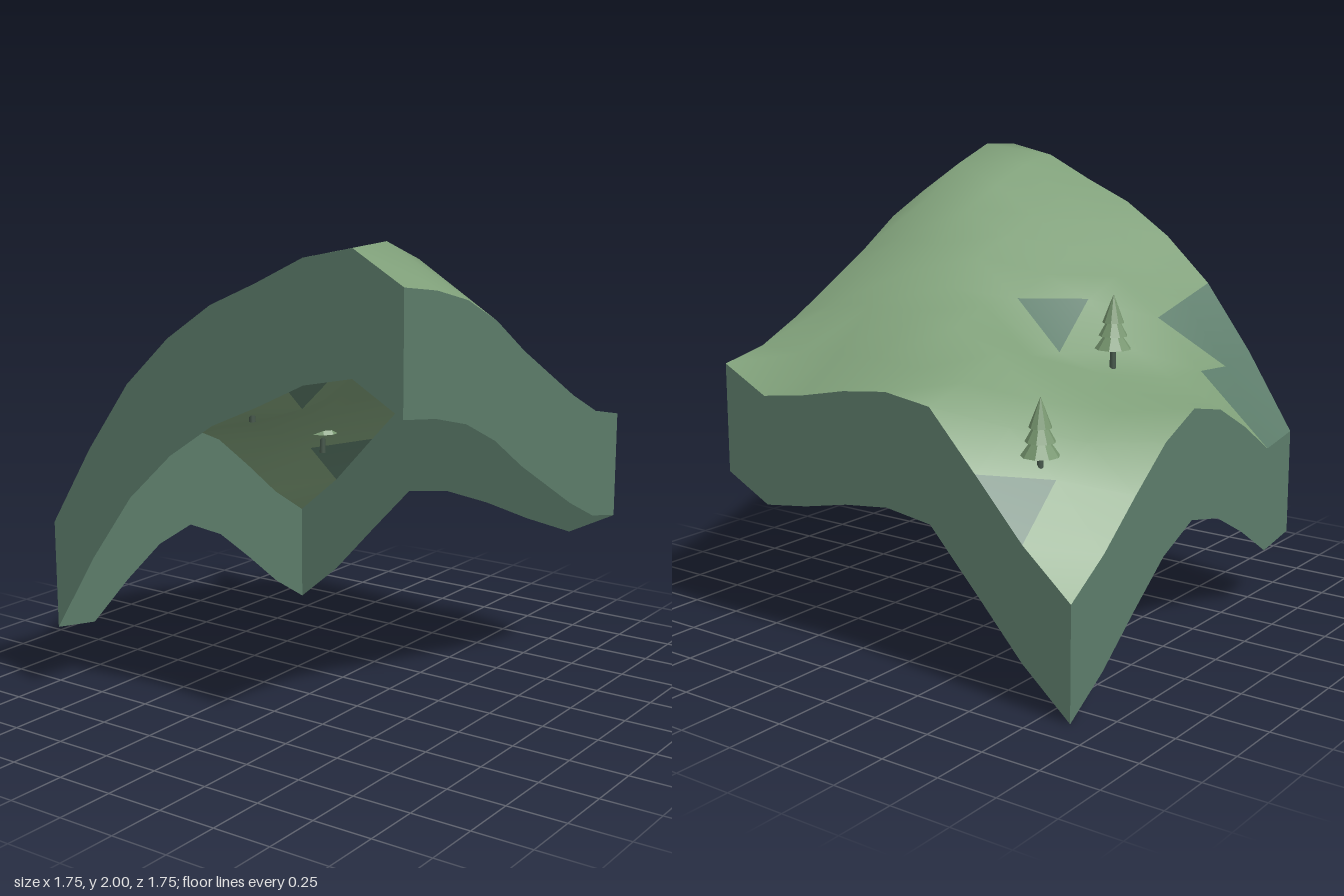
import * as THREE from 'three';

const HALF = 0.8725, N = 8, STEP = (2 * HALF) / N, DEPTH = 0.465;

// Ground heights: rows run back to front, columns from -x to +x
const HEIGHTS = [
  [0.465, 0.65, 0.885, 1.115, 1.145, 1.12, 1.075, 1.045, 1.155],
  [0.60, 0.85, 1.02, 1.17, 1.20, 1.215, 1.21, 1.19, 1.20],
  [0.775, 0.95, 1.08, 1.25, 1.34, 1.38, 1.39, 1.37, 1.30],
  [0.94, 1.03, 1.11, 1.21, 1.39, 1.458, 1.50, 1.49, 1.42],
  [1.035, 1.06, 1.12, 1.19, 1.40, 1.56, 1.60, 1.605, 1.54],
  [0.99, 1.09, 1.20, 1.39, 1.475, 1.63, 1.74, 1.78, 1.68],
  [0.875, 1.09, 1.30, 1.46, 1.58, 1.70, 1.83, 1.92, 1.78],
  [0.735, 1.075, 1.35, 1.53, 1.67, 1.79, 1.91, 2.00, 1.835],
  [0.77, 1.11, 1.40, 1.60, 1.745, 1.84, 1.945, 1.99, 1.865],
];

// Steep half-cells that show bare rock: column, row, half (0 = back, 1 = front)
const ROCKY = new Set(['0,7,0', '0,7,1', '1,7,0', '1,7,1', '0,6,1', '1,6,1', '3,4,0', '1,0,0']);

const point = (i, j) => [-HALF + i * STEP, HEIGHTS[j][i], -HALF + j * STEP];

function groundGeometry() {
  const positions = [], grass = [], rock = [];
  for (let j = 0; j <= N; j++) for (let i = 0; i <= N; i++) positions.push(...point(i, j));
  for (let j = 0; j < N; j++) {
    for (let i = 0; i < N; i++) {
      const a = j * (N + 1) + i, b = a + N + 1, c = b + 1, d = a + 1;
      [[a, b, d], [b, c, d]].forEach((tri, half) => {
        (ROCKY.has(`${i},${j},${half}`) ? rock : grass).push(...tri);
      });
    }
  }
  const geo = new THREE.BufferGeometry();
  geo.setAttribute('position', new THREE.Float32BufferAttribute(positions, 3));
  geo.setIndex([...grass, ...rock]);
  geo.addGroup(0, grass.length, 0);
  geo.addGroup(grass.length, rock.length, 1);
  geo.computeVertexNormals();
  return geo;
}

// One vertical wall hanging from an edge of the ground
function wallGeometry(edge) {
  const positions = [], index = [];
  edge.forEach(([x, y, z], k) => {
    positions.push(x, y, z, x, y - DEPTH, z);
    if (k < N) {
      const t = 2 * k;
      index.push(t, t + 1, t + 2, t + 2, t + 1, t + 3);
    }
  });
  const geo = new THREE.BufferGeometry();
  geo.setAttribute('position', new THREE.Float32BufferAttribute(positions, 3));
  geo.setIndex(index);
  geo.computeVertexNormals();
  return geo;
}

function makeTree(foliage, bark) {
  const tree = new THREE.Group();
  tree.name = 'tree';
  const trunk = new THREE.Mesh(new THREE.CylinderGeometry(0.011, 0.015, 0.13, 8), bark);
  trunk.name = 'trunk';
  trunk.position.y = 0.055;
  tree.add(trunk);
  // Three stacked tiers: radius, base height, tier height
  [[0.077, 0.09, 0.11], [0.061, 0.145, 0.11], [0.046, 0.2, 0.12]].forEach(([r, y, h]) => {
    const tier = new THREE.Mesh(new THREE.ConeGeometry(r, h, 9), foliage);
    tier.name = 'foliageTier';
    tier.position.y = y + h / 2;
    tree.add(tier);
  });
  return tree;
}

export function createModel() {
  const material = (name, color, extra = {}) => {
    const m = new THREE.MeshStandardMaterial({ color, ...extra });
    m.name = name;
    return m;
  };
  const grass = material('grass', 0x7f9f79, { side: THREE.DoubleSide });
  const rock = material('rock', 0x5c7c6a, { side: THREE.DoubleSide });
  const foliage = material('foliage', 0x77966f, { flatShading: true });
  const bark = material('bark', 0x45564a);

  const model = new THREE.Group();
  model.name = 'hillside';

  const ground = new THREE.Mesh(groundGeometry(), [grass, rock]);
  ground.name = 'ground';
  model.add(ground);

  // Walls, each ordered so that it faces outwards
  const steps = [...Array(N + 1).keys()];
  const edges = {
    frontWall: steps.map((k) => point(k, N)),
    rightEndWall: steps.map((k) => point(N, N - k)),
    backWall: steps.map((k) => point(N - k, 0)),
    leftEndWall: steps.map((k) => point(0, k)),
  };
  for (const [name, edge] of Object.entries(edges)) {
    const wall = new THREE.Mesh(wallGeometry(edge), rock);
    wall.name = name;
    model.add(wall);
  }

  // Two small conifers
  [[-0.44, 1.13, 0.07], [-0.585, 0.845, -0.66]].forEach((p) => {
    const tree = makeTree(foliage, bark);
    tree.position.set(...p);
    model.add(tree);
  });
  return model;
}
